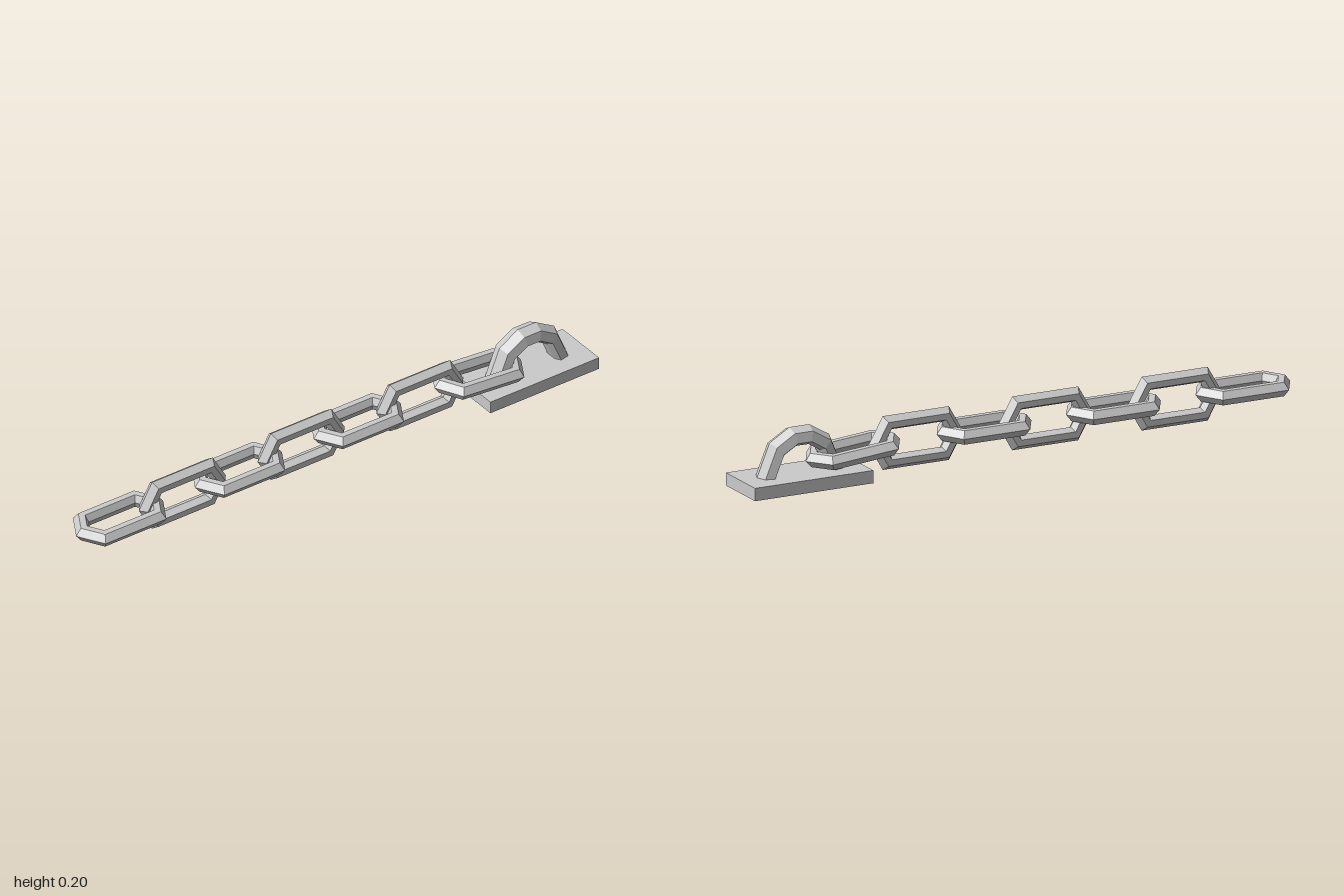
import * as THREE from 'three';

const material = new THREE.MeshStandardMaterial({ color: 0xcccccc, flatShading: true, side: THREE.DoubleSide });

// Sweep a six-sided section along rings of points: at(i, j) gives the vertex of ring i, corner j.
function loft(rings, corners, closed, at) {
  const positions = [];
  for (let i = 0; i < (closed ? rings : rings - 1); i++) {
    for (let j = 0; j < corners; j++) {
      const i2 = (i + 1) % rings, j2 = (j + 1) % corners;
      const a = at(i, j), b = at(i2, j), c = at(i2, j2), d = at(i, j2);
      positions.push(...a, ...b, ...c, ...a, ...c, ...d);
    }
  }
  const geometry = new THREE.BufferGeometry();
  geometry.setAttribute('position', new THREE.Float32BufferAttribute(positions, 3));
  geometry.computeVertexNormals();
  return geometry;
}

// Link: hexagonal ring lying in the xz plane, its halves pulled apart along z
function linkGeometry() {
  const section = [[0.104, 0], [0.085, 0.0235], [0.061, 0.0235], [0.0485, 0], [0.061, -0.0235], [0.085, -0.0235]];
  const stretch = 0.068;
  return loft(6, section.length, true, (i, j) => {
    const angle = i * Math.PI / 3, [radius, height] = section[j];
    const z = Math.cos(angle);
    return [radius * Math.sin(angle), height, radius * z + Math.sign(z) * stretch];
  });
}

// Arch: half ring whose section shrinks towards the arch centre
function archGeometry() {
  const path = [[-0.157, -0.02], [-0.153, 0.005], [-0.108, 0.114], [-0.036, 0.157],
    [0.036, 0.157], [0.108, 0.114], [0.153, 0.005], [0.157, -0.02]];
  const section = [[1, 0], [0.91, 0.033], [0.7, 0.04], [0.62, 0.02], [0.62, -0.02], [0.7, -0.04], [0.91, -0.033]];
  return loft(path.length, section.length, false, (i, j) => {
    const [u, v] = path[i], [scale, width] = section[j];
    return [width, v > 0.02 ? v * scale : v, u * scale];
  });
}

// Plate: a box without its bottom face
function plateGeometry(width, height, depth) {
  const box = new THREE.BoxGeometry(width, height, depth);
  const index = Array.from(box.index.array);
  index.splice(18, 6);
  box.setIndex(index);
  return box;
}

export function createModel() {
  const model = new THREE.Group();
  model.name = 'chainWithAnchor';

  const add = (name, geometry, x, y, z) => {
    const mesh = new THREE.Mesh(geometry, material);
    mesh.name = name;
    mesh.position.set(x, y, z);
    model.add(mesh);
    return mesh;
  };

  // Anchor
  add('anchorPlate', plateGeometry(0.2, 0.043, 0.43), 0, 0.0215, -0.785);
  add('anchorArch', archGeometry(), 0, 0.04, -0.786);

  // Chain: flat and upright links alternate
  const link = linkGeometry();
  [0.825, 0.355, -0.115].forEach((z, i) => {
    add('flatLink' + (i + 1), link, 0, 0.097, z);
    add('uprightLink' + (i + 1), link, 0, 0.096, z - 0.248).rotation.z = Math.PI / 2;
  });

  // Last link, hooked through the arch and tilted down
  add('anchorLink', link, 0, 0.088, -0.592).rotation.x = -0.085;

  return model;
}
